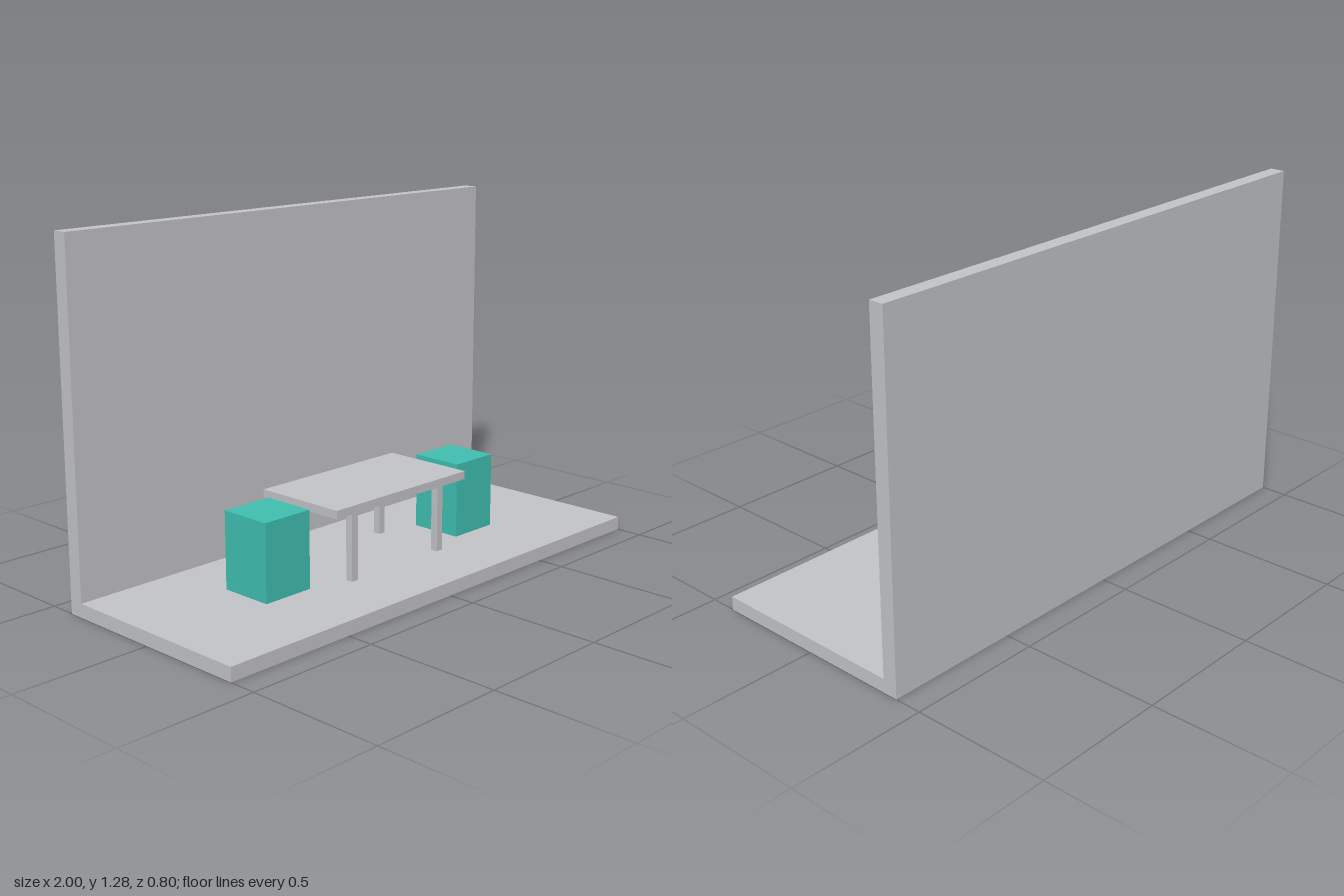
import * as THREE from 'three';

export function createModel() {
  const grey = new THREE.MeshStandardMaterial({ color: 0xc4c5c9 });
  grey.name = 'light grey';
  const teal = new THREE.MeshStandardMaterial({ color: 0x40c0b2 });
  teal.name = 'teal';

  const model = new THREE.Group();
  model.name = 'diningCorner';

  function box(parent, name, material, size, position) {
    const mesh = new THREE.Mesh(new THREE.BoxGeometry(...size), material);
    mesh.name = name;
    mesh.position.set(...position);
    parent.add(mesh);
    return mesh;
  }

  // Floor and back wall: one L-shaped side profile (z, y) run along x
  const profile = new THREE.Shape([
    [-0.4, 0], [0.4, 0], [0.4, 0.05], [-0.345, 0.05], [-0.345, 1.28], [-0.4, 1.28],
  ].map(([z, y]) => new THREE.Vector2(z, y)));
  const shell = new THREE.ExtrudeGeometry(profile, { depth: 2, bevelEnabled: false });
  shell.rotateY(-Math.PI / 2).translate(1, 0, 0);
  const floorAndWall = new THREE.Mesh(shell, grey);
  floorAndWall.name = 'floorAndWall';
  model.add(floorAndWall);

  // Table: top on four slim legs
  const table = new THREE.Group();
  table.name = 'table';
  model.add(table);
  box(table, 'tableTop', grey, [0.66, 0.03, 0.36], [0, 0.317, 0]);
  for (const [side, x] of [['left', 0.22], ['right', -0.22]]) {
    for (const [end, z] of [['Front', 0.143], ['Back', -0.143]]) {
      box(table, `${side}${end}Leg`, grey, [0.028, 0.252, 0.028], [x, 0.176, z]);
    }
  }

  // Block stools at both ends of the table
  for (const [side, x] of [['left', 0.48], ['right', -0.48]]) {
    box(model, `${side}Stool`, teal, [0.2, 0.28, 0.2], [x, 0.19, 0]);
  }

  return model;
}
